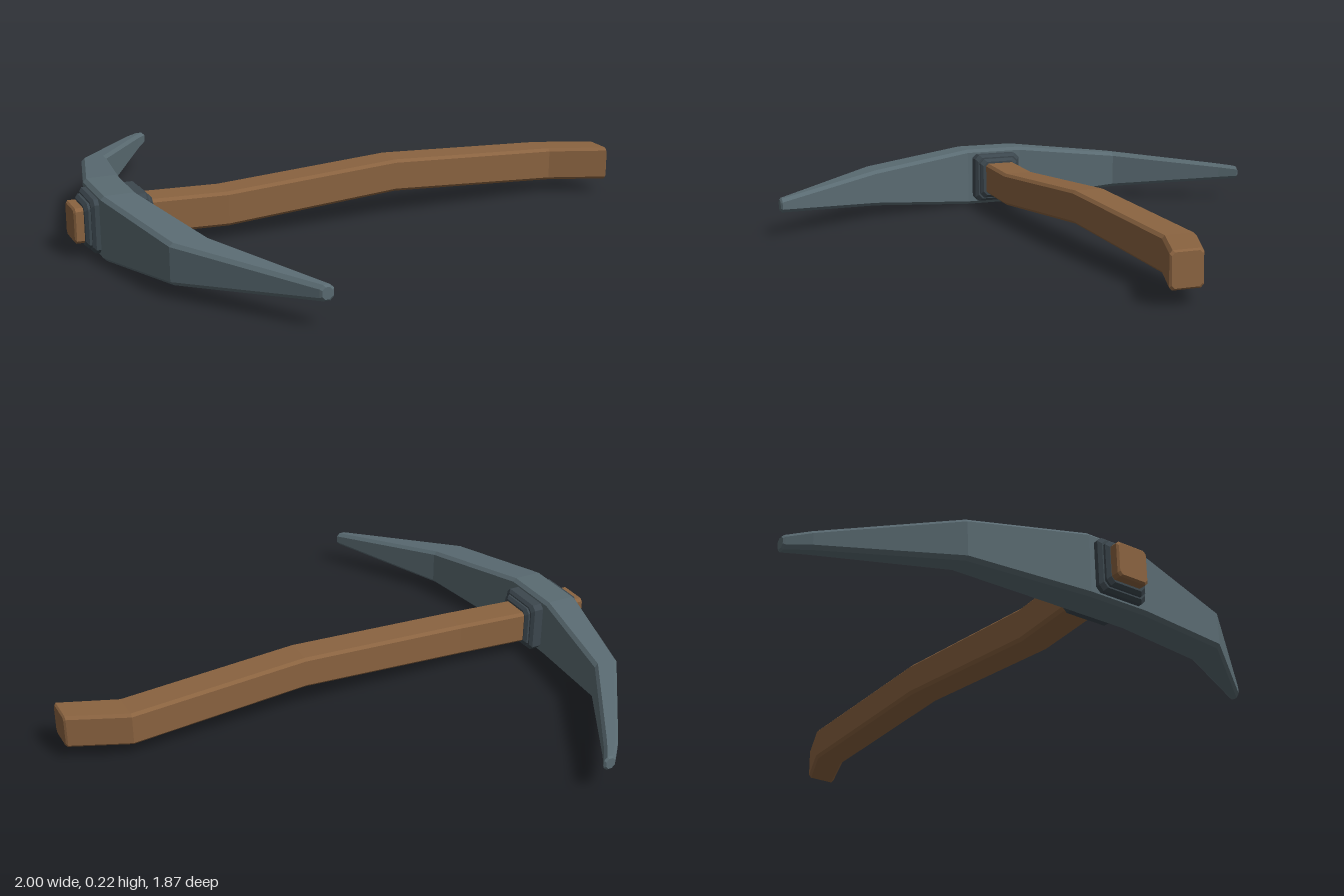
import * as THREE from 'three';

// Loft of chamfered rectangles. Each section: [s, aMin, aMax, bMin, bMax]; place(s, a, b) gives a point.
function loft(sections, chamfer, place) {
  const rings = sections.map(([s, a0, a1, b0, b1]) => {
    const c = Math.min(chamfer, (a1 - a0) * 0.3, (b1 - b0) * 0.3);
    return [
      [a1, b0 + c], [a1, b1 - c], [a1 - c, b1], [a0 + c, b1],
      [a0, b1 - c], [a0, b0 + c], [a0 + c, b0], [a1 - c, b0],
    ].map(([a, b]) => place(s, a, b));
  });
  const pos = [];
  const tri = (...pts) => pts.forEach((p) => pos.push(...p));
  for (let i = 0; i < rings.length - 1; i++) {
    for (let j = 0; j < 8; j++) {
      const k = (j + 1) % 8, r = rings[i], n = rings[i + 1];
      tri(r[j], r[k], n[k]);
      tri(r[j], n[k], n[j]);
    }
  }
  const first = rings[0], last = rings[rings.length - 1];
  for (let j = 1; j < 7; j++) {
    tri(first[0], first[j + 1], first[j]);
    tri(last[0], last[j], last[j + 1]);
  }
  const geo = new THREE.BufferGeometry();
  geo.setAttribute('position', new THREE.Float32BufferAttribute(pos, 3));
  geo.computeVertexNormals();
  return geo;
}

// Adds a small bevel to both ends of a loft
function bevelEnds(sections, d) {
  const inset = ([s, a0, a1, b0, b1]) => [s, a0 + d, a1 - d, b0 + d, b1 - d];
  const f = sections[0], l = sections[sections.length - 1];
  return [
    inset(f), [f[0] + d, ...f.slice(1)],
    ...sections.slice(1, -1),
    [l[0] - d, ...l.slice(1)], inset(l),
  ];
}

const alongX = (s, a, b) => [s, a, b]; // a = y, b = z
const alongZ = (s, a, b) => [a, b, s]; // a = x, b = y

export function createModel() {
  const wood = new THREE.MeshStandardMaterial({ color: 0x8a6340 });
  const steel = new THREE.MeshStandardMaterial({ color: 0x5a6b72 });
  const darkIron = new THREE.MeshStandardMaterial({ color: 0x3c474e });
  wood.name = 'wood';
  steel.name = 'steel';
  darkIron.name = 'darkIron';

  const group = new THREE.Group();
  group.name = 'pickaxe';
  const add = (name, geo, mat) => {
    const mesh = new THREE.Mesh(geo, mat);
    mesh.name = name;
    group.add(mesh);
  };

  // Crooked wooden handle
  const handle = [
    [-1, 0.06, 0.18, -0.065, 0.055],
    [-0.75, 0.06, 0.18, -0.065, 0.055],
    [-0.48, 0.06, 0.18, -0.04, 0.08],
    [0.15, 0.1, 0.215, -0.052, 0.068],
    [0.79, 0.06, 0.18, -0.065, 0.055],
    [0.995, 0.06, 0.18, 0.018, 0.132],
  ];
  add('handle', loft(bevelEnds(handle, 0.006), 0.01, alongX), wood);

  // Curved steel head, tapering in height towards both points
  const head = [
    [-0.938, -0.515, -0.47],
    [-0.87, -0.57, -0.513],
    [-0.5, -0.832, -0.74],
    [-0.11, -0.925, -0.8],
    [0.11, -0.925, -0.8],
    [0.52, -0.828, -0.695],
    [0.935, -0.515, -0.47],
  ].map(([z, x0, x1]) => {
    const h = 0.11 - Math.max(0, Math.abs(z) - 0.11) * 0.103;
    return [z, x0, x1, 0.12 - h, 0.12 + h];
  });
  add('head', loft(bevelEnds(head, 0.006), 0.012, alongZ), steel);

  // Stepped collar that holds the head on the handle
  [[-0.95, -0.755, 0.092], [-0.968, -0.738, 0.077]].forEach(([x0, x1, h], i) => {
    const block = [x0, x1].map((x) => [x, 0.12 - h, 0.12 + h, -h, h]);
    add(i ? 'collarInner' : 'collarOuter', loft(bevelEnds(block, 0.01), 0.016, alongX), darkIron);
  });

  return group;
}
